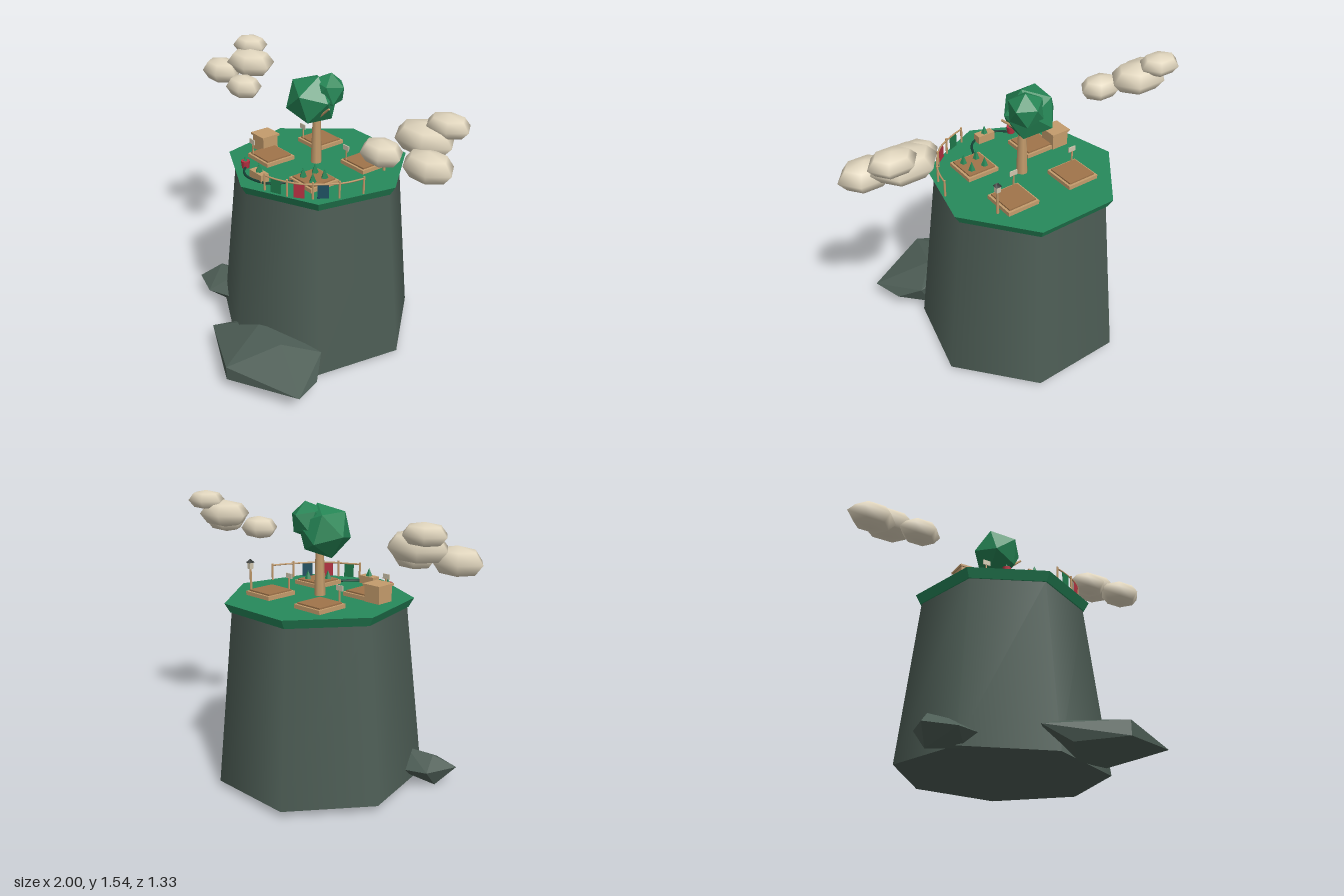
import * as THREE from 'three';
import { ConvexGeometry } from 'three/addons/geometries/ConvexGeometry.js';

const TOP = 1.04; // height of the grass
const mat = (color, opts = {}) => {
  const m = new THREE.MeshStandardMaterial({ color, ...opts });
  return m;
};
const flat = { flatShading: true };
const M = {
  rock: mat(0x4d5d55), boulder: mat(0x4d5d55, flat), grass: mat(0x27895b, flat),
  leaf: mat(0x258555, flat), wood: mat(0xc49c6c), soil: mat(0xa0744a), cloud: mat(0xe2d7bf),
  pale: mat(0xcfc6ae), dark: mat(0x2b302e), hose: mat(0x174438), red: mat(0xb83242),
  cloths: [0x1f7a4c, 0xb83242, 0x1d4f60].map(c => mat(c, { side: THREE.DoubleSide })),
};

export function createModel() {
  const root = new THREE.Group();
  const add = (name, geo, material, x = 0, y = 0, z = 0, parent = root) => {
    const m = new THREE.Mesh(geo, material);
    m.name = name;
    m.position.set(x, y, z);
    parent.add(m);
    return m;
  };
  const group = (name, x = 0, y = 0, z = 0) => {
    const g = new THREE.Group();
    g.name = name;
    g.position.set(x, y, z);
    root.add(g);
    return g;
  };
  const box = (w, h, d) => new THREE.BoxGeometry(w, h, d);
  const cyl = (a, b, h, n) => new THREE.CylinderGeometry(a, b, h, n);
  const V = p => new THREE.Vector3(...p);

  // Seven-sided cliff with a slightly tilted base, and the grass slab on it
  const cliff = cyl(0.475, 0.578, 0.965, 7);
  const pos = cliff.attributes.position;
  for (let i = 0; i < pos.count; i++) {
    if (pos.getY(i) > 0) continue;
    pos.setY(i, pos.getY(i) - pos.getX(i) * 0.02 - pos.getZ(i) * 0.015);
    if (pos.getX(i) > 0.3) pos.setX(i, pos.getX(i) + 0.015);
  }
  add('cliff', cliff, M.rock, 0, 0.5125, -0.15);
  add('grass', cyl(0.512, 0.483, 0.05, 7), M.grass, 0, 1.015, -0.15);

  // Boulders at the foot
  const boulder = (name, pts) => add(name, new ConvexGeometry(pts.map(V)), M.boulder);
  boulder('largeBoulder', [
    [-0.155, 0.115, 0.49], [0.245, 0.155, 0.66], [0.245, 0.075, 0.66], [0.64, 0.115, 0.475],
    [0.1, 0.225, 0.32], [0.33, 0.215, 0.36], [0.48, 0.18, 0.2], [0.03, 0.18, 0.24],
    [0.14, 0.005, 0.375], [0.42, 0.045, 0.22], [0, 0.04, 0.53], [0.58, 0.1, 0.31],
  ]);
  boulder('smallBoulder', [
    [-0.66, 0.105, 0.26], [-0.61, 0.12, 0.06], [-0.58, 0.19, 0.15], [-0.42, 0.195, 0.12],
    [-0.335, 0.105, 0.24], [-0.49, 0.1, 0.305], [-0.4, 0.03, 0.2], [-0.59, 0.01, 0.16],
    [-0.42, 0.1, 0.02],
  ]);

  // Mirrored clouds: centre x, y, z, then radii
  for (const side of [-1, 1]) {
    const cloud = group(side > 0 ? 'leftCloud' : 'rightCloud');
    for (const [x, y, z, rx, ry, rz] of [
      [0.803, 1.485, -0.27, 0.123, 0.056, 0.096], [0.717, 1.41, -0.21, 0.172, 0.078, 0.13],
      [0.858, 1.347, -0.095, 0.142, 0.073, 0.108], [0.582, 1.327, -0.065, 0.125, 0.066, 0.096],
    ]) {
      add('cloudPuff', new THREE.SphereGeometry(1, 6, 4), M.cloud, side * x, y, z, cloud).scale.set(rx, ry, rz);
    }
  }

  // Tree
  const tree = group('tree');
  add('trunk', cyl(0.021, 0.031, 0.3, 7), M.wood, 0, TOP + 0.15, -0.14, tree);
  const branch = add('branch', cyl(0.006, 0.01, 0.16, 5), M.wood, 0.058, 1.335, -0.125, tree);
  branch.rotation.z = -0.86;
  add('largeCrown', new THREE.IcosahedronGeometry(0.148, 0), M.leaf, -0.04, 1.393, -0.14, tree).rotation.set(0.2, 0.5, 0.15);
  add('smallCrown', new THREE.IcosahedronGeometry(0.1, 0), M.leaf, 0.022, 1.448, -0.195, tree).rotation.set(0.1, 1, 0.3);

  // Planting beds; three carry a sign, the fourth is planted
  const sprout = (x, y, z, r, h, parent) =>
    add('plant', new THREE.ConeGeometry(r, h, 5), M.leaf, x, y + h / 2, z, parent);
  for (const x of [-0.19, 0.19]) for (const z of [-0.325, 0.03]) {
    const bed = group('gardenBed', x, TOP, z);
    add('bedFrame', box(0.185, 0.022, 0.185), M.wood, 0, 0.011, 0, bed);
    add('soil', box(0.16, 0.03, 0.16), M.soil, 0, 0.015, 0, bed);
    if (x > 0 && z > 0) {
      for (const u of [-0.04, 0.04]) for (const v of [-0.04, 0.04]) sprout(u, 0.03, v, 0.02, 0.05, bed);
    } else {
      add('signPost', box(0.008, 0.09, 0.006), M.wood, -0.06, 0.045, 0.08, bed);
      add('signPlate', box(0.045, 0.028, 0.006), M.pale, -0.06, 0.1, 0.083, bed);
    }
  }

  // Shed
  const shed = group('shed', -0.312, TOP, -0.02);
  add('shedBody', box(0.1, 0.085, 0.1), M.wood, 0, 0.0425, 0, shed);
  add('shedRoof', box(0.116, 0.012, 0.116), M.wood, 0, 0.091, 0, shed);

  // Planter box and red pot
  const planter = group('planter', -0.015, TOP, 0.235);
  add('planterBox', box(0.105, 0.045, 0.05), M.wood, 0, 0.0225, 0, planter);
  sprout(0, 0.045, 0, 0.02, 0.045, planter);
  const pot = group('pot', -0.178, TOP, 0.21);
  add('potBody', cyl(0.025, 0.021, 0.04, 8), M.red, 0, 0.02, 0, pot);
  sprout(0, 0.04, 0, 0.012, 0.025, pot);

  // Garden hose
  const hose = new THREE.CatmullRomCurve3([
    [-0.17, 1.046, 0.215], [-0.12, 1.046, 0.26], [-0.06, 1.046, 0.275], [0.04, 1.046, 0.25],
    [0.09, 1.046, 0.205], [0.13, 1.05, 0.12],
  ].map(V));
  add('hose', new THREE.TubeGeometry(hose, 30, 0.007, 5), M.hose);

  // Lamp post
  const lamp = group('lampPost', 0.31, TOP, -0.36);
  add('post', cyl(0.006, 0.008, 0.13, 6), M.wood, 0, 0.065, 0, lamp);
  add('lantern', box(0.024, 0.034, 0.024), M.pale, 0, 0.147, 0, lamp);
  add('lanternCap', new THREE.ConeGeometry(0.024, 0.02, 4), M.dark, 0, 0.174, 0, lamp).rotation.y = Math.PI / 4;

  // Curved drying line with posts and hanging cloths
  const line = group('dryingLine');
  const rail = new THREE.CatmullRomCurve3([
    [0.105, 1.125, 0.285], [0.17, 1.122, 0.265], [0.29, 1.122, 0.2], [0.37, 1.122, 0.105],
    [0.42, 1.122, 0.01], [0.445, 1.125, -0.09],
  ].map(V));
  add('rail', new THREE.TubeGeometry(rail, 30, 0.005, 5), M.wood, 0, 0, 0, line);
  for (const t of [0, 0.25, 0.5, 0.75, 1]) {
    const p = rail.getPointAt(t);
    add('linePost', cyl(0.006, 0.006, 0.095, 6), M.wood, p.x, TOP + 0.0475, p.z, line);
  }
  [0.13, 0.37, 0.595].forEach((t, i) => {
    const p = rail.getPointAt(t), d = rail.getTangentAt(t);
    add('cloth', box(0.058, 0.076, 0.004), M.cloths[i], p.x, 1.081, p.z, line).rotation.y = Math.atan2(-d.z, d.x);
  });
  return root;
}
